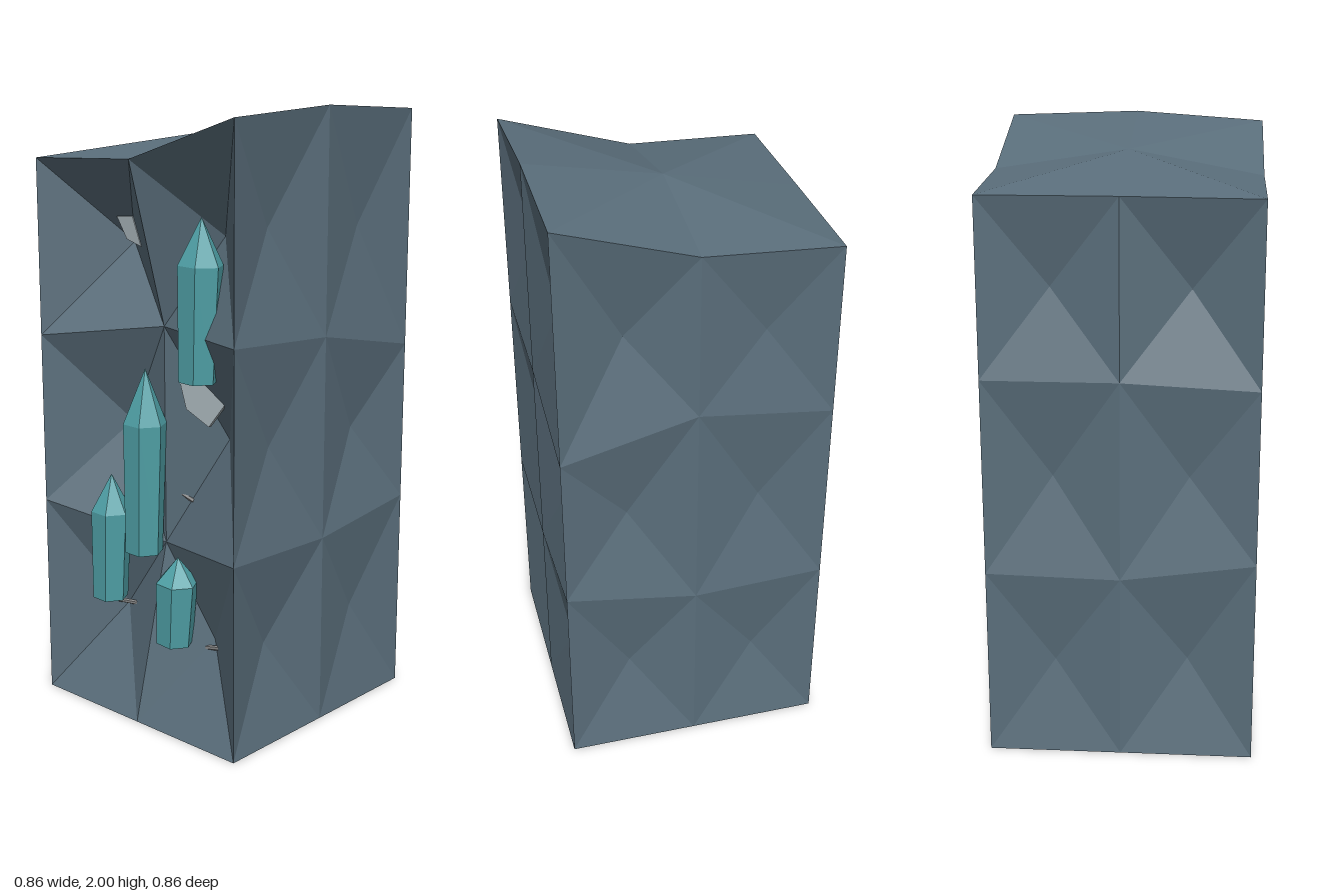
import * as THREE from 'three';

const R = 0.43;
const mat = (color) => new THREE.MeshStandardMaterial({ color, flatShading: true, side: THREE.DoubleSide });

// Faceted square rock: 8 columns around, 3 rows, every cell pinched inward at its centre
function rockGeometry() {
  const ring = [[-1, 1], [0, 1], [1, 1], [1, 0], [1, -1], [0, -1], [-1, -1], [-1, 0]];
  const heights = [
    [0, 0, 0, 0, 0, 0, 0, 0],
    [0.68, 0.59, 0.64, 0.63, 0.68, 0.61, 0.63, 0.62],
    [1.25, 1.31, 1.31, 1.29, 1.21, 1.32, 1.27, 1.27],
    [1.83, 1.84, 1.97, 2.0, 1.985, 1.855, 1.834, 1.834],
  ];
  // Depth of each cell centre; the first two columns are the hollow front
  const insets = [
    [0.18, 0.15, 0.065, 0.05, 0.06, 0.05, 0.05, 0.06],
    [0.21, 0.22, 0.05, 0.06, 0.06, 0.05, 0.06, 0.05],
    [0.23, 0.2, 0.06, 0.05, 0.07, 0.04, 0.06, 0.08],
  ];
  const pos = [];
  const tri = (...pts) => pts.forEach((p) => pos.push(p.x, p.y, p.z));
  const point = (row, i) => {
    const [x, z] = ring[i % 8];
    const hollow = i % 8 === 1 && (row === 1 || row === 2) ? 0.146 : 0;
    return new THREE.Vector3(x * R, heights[row][i % 8], z * R - hollow);
  };
  for (let row = 0; row < 3; row++) {
    for (let i = 0; i < 8; i++) {
      const corners = [point(row, i), point(row, i + 1), point(row + 1, i + 1), point(row + 1, i)];
      const [ax, az] = ring[i];
      const [bx, bz] = ring[(i + 1) % 8];
      const nx = ax === bx ? ax : 0;
      const nz = az === bz ? az : 0;
      const d = insets[row][i];
      const y = corners.reduce((s, c) => s + c.y, 0) / 4;
      const centre = new THREE.Vector3((ax + bx) / 2 * R - nx * d, y, (az + bz) / 2 * R - nz * d);
      corners.forEach((c, k) => tri(c, corners[(k + 1) % 4], centre));
    }
  }
  // Top and bottom fans
  const top = new THREE.Vector3(0, 1.92, 0);
  const bottom = new THREE.Vector3(0, 0, 0);
  for (let i = 0; i < 8; i++) {
    tri(point(3, i), point(3, i + 1), top);
    tri(point(0, i + 1), point(0, i), bottom);
  }
  const geo = new THREE.BufferGeometry();
  geo.setAttribute('position', new THREE.Float32BufferAttribute(pos, 3));
  geo.computeVertexNormals();
  return geo;
}

// Six-sided crystal with a pointed tip, widening slightly upward
function crystalGeometry(rBase, rTop, shoulder, height) {
  const profile = [[0, 0], [rBase, 0], [rTop, shoulder], [0, height]].map(([x, y]) => new THREE.Vector2(x, y));
  return new THREE.LatheGeometry(profile, 6, Math.PI / 6);
}

// Thin mineral plate leaning back by a slope
function plateGeometry(outline, z, yMid, slope) {
  const shape = new THREE.Shape(outline.map(([x, y]) => new THREE.Vector2(x, y)));
  const geo = new THREE.ExtrudeGeometry(shape, { depth: 0.012, bevelEnabled: false });
  const p = geo.attributes.position;
  for (let i = 0; i < p.count; i++) p.setZ(i, p.getZ(i) + z - 0.012 - slope * (p.getY(i) - yMid));
  geo.computeVertexNormals();
  return geo;
}

// Bent root made of straight segments
function rootGeometry(points) {
  const path = new THREE.CurvePath();
  const v = points.map((p) => new THREE.Vector3(...p));
  for (let i = 1; i < v.length; i++) path.add(new THREE.LineCurve3(v[i - 1], v[i]));
  return new THREE.TubeGeometry(path, 16, 0.008, 6, false);
}

export function createModel() {
  const model = new THREE.Group();
  model.name = 'crystalRock';
  const add = (name, geo, material) => {
    const mesh = new THREE.Mesh(geo, material);
    mesh.name = name;
    model.add(mesh);
    return mesh;
  };
  const rockMat = mat(0x5a6e7b);
  rockMat.side = THREE.FrontSide;
  add('rock', rockGeometry(), rockMat);

  // Crystals: base x, y, z, base radius, shoulder radius, shoulder height, full height, lean
  const crystalMat = mat(0x4fa0a6);
  [
    [-0.042, 0.565, 0.345, 0.063, 0.072, 0.435, 0.615, 0.025],
    [0.205, 1.17, 0.345, 0.063, 0.073, 0.36, 0.505, 0.035],
    [-0.197, 0.372, 0.355, 0.06, 0.068, 0.305, 0.432, 0.035],
    [0.102, 0.288, 0.352, 0.061, 0.07, 0.21, 0.295, 0.06],
  ].forEach(([x, y, z, rb, rt, shoulder, height, lean], i) => {
    const crystal = add(`crystal${i + 1}`, crystalGeometry(rb, rt, shoulder, height), crystalMat);
    crystal.position.set(x, y, z);
    crystal.rotation.z = -lean;
  });

  // Pale mineral plates set in the hollow
  const plateMat = mat(0xa3afb4);
  add('upperPlate', plateGeometry([[-0.17, 1.575], [-0.105, 1.555], [-0.143, 1.65], [-0.215, 1.645]], 0.28, 1.6, 0), plateMat);
  add('lowerPlate', plateGeometry([[0.095, 1.055], [0.2, 1.015], [0.26, 1.1], [0.2, 1.19], [0.025, 1.185]], 0.275, 1.1, 0.2), plateMat);

  // Roots weaving in and out of the rock
  const rootMat = mat(0x8a8a8a);
  add('upperRoot', rootGeometry([[-0.195, 0.81, 0.275], [-0.1, 0.825, 0.265], [0.03, 0.77, 0.262], [0.1, 0.742, 0.25], [0.17, 0.755, 0.26]]), rootMat);
  add('lowerRoot', rootGeometry([[-0.275, 0.322, 0.28], [-0.12, 0.335, 0.265], [0.02, 0.29, 0.25], [0.14, 0.262, 0.285], [0.27, 0.295, 0.3], [0.38, 0.32, 0.27]]), rootMat);
  return model;
}
